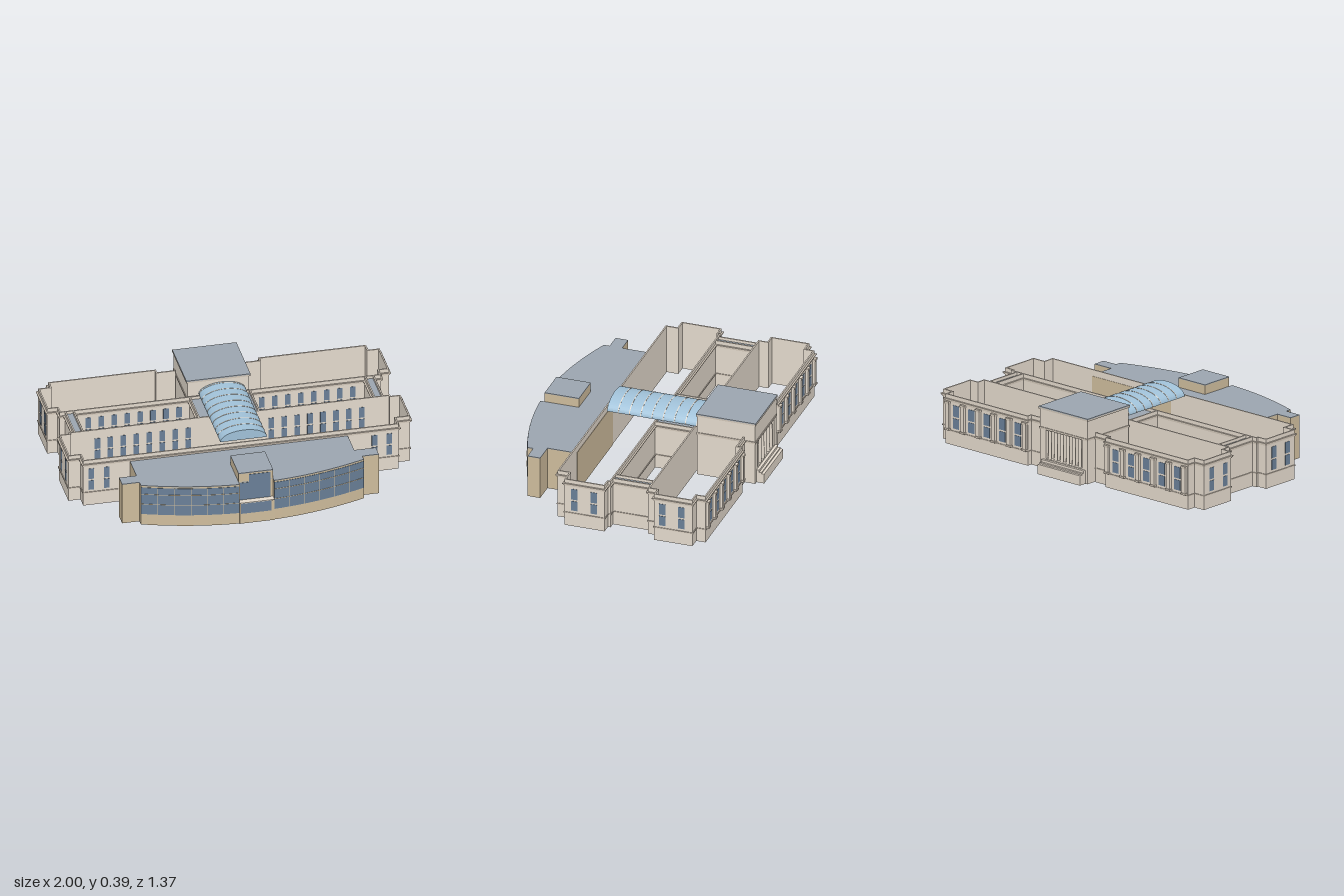
import * as THREE from 'three';

const paint = (name, color) => {
  const m = new THREE.MeshStandardMaterial({ color });
  m.name = name;
  return m;
};

// shift a polyline of [x, z] points sideways, with mitred corners
function offset(pts, d, closed) {
  const n = pts.length;
  const normal = (a, b) => {
    const dx = b[0] - a[0], dz = b[1] - a[1], l = Math.hypot(dx, dz);
    return [dz / l, -dx / l];
  };
  return pts.map((p, i) => {
    const prev = i > 0 ? pts[i - 1] : closed ? pts[n - 1] : null;
    const next = i < n - 1 ? pts[i + 1] : closed ? pts[0] : null;
    const a = normal(prev || p, prev ? p : next);
    const b = next ? normal(p, next) : a;
    const k = d / (1 + a[0] * b[0] + a[1] * b[1]);
    return [p[0] + (a[0] + b[0]) * k, p[1] + (a[1] + b[1]) * k];
  });
}

const toV = pts => pts.map(([x, z]) => new THREE.Vector2(x, -z));

export function createModel() {
  const stone = paint('pale stone', 0xe4dacd);
  const trim = paint('stone trim', 0xd2c7b9);
  const sand = paint('sandstone', 0xcfbd9d);
  const roof = paint('grey roof', 0x9ba5af);
  const glass = paint('window glass', 0x6a8098);
  const skylight = paint('skylight glass', 0xa1c2d9);
  const model = new THREE.Group();
  model.name = 'building';

  const add = (name, geo, mat, parent = model) => {
    const m = new THREE.Mesh(geo, mat);
    m.name = name;
    parent.add(m);
    return m;
  };
  const box = (name, mat, x0, x1, y0, y1, z0, z1, parent) => {
    const m = add(name, new THREE.BoxGeometry(x1 - x0, y1 - y0, z1 - z0), mat, parent);
    m.position.set((x0 + x1) / 2, (y0 + y1) / 2, (z0 + z1) / 2);
    return m;
  };
  const extrudeUp = (name, shape, y0, y1, mat) => {
    const g = new THREE.ExtrudeGeometry(shape, { depth: y1 - y0, bevelEnabled: false });
    g.rotateX(-Math.PI / 2).translate(0, y0, 0);
    return add(name, g, mat);
  };
  // wall that follows a path, reaching from dIn to dOut beside it
  const wall = (name, pts, y0, y1, mat, closed = true, dOut = 0, dIn = -0.008) => {
    const a = toV(offset(pts, dOut, closed)), b = toV(offset(pts, dIn, closed));
    const shape = new THREE.Shape(closed ? a.reverse() : [...a, ...b.reverse()]);
    if (closed) shape.holes.push(new THREE.Path(b));
    return extrudeUp(name, shape, y0, y1, mat);
  };
  const stoneWall = (name, pts, closed) => {
    wall(name + 'Wall', pts, 0, 0.293, stone, closed);
    wall(name + 'Course', pts, 0.079, 0.086, trim, closed, 0.004, -0.004);
    wall(name + 'CorniceBase', pts, 0.255, 0.26, trim, closed, 0.004, -0.004);
    wall(name + 'Cornice', pts, 0.26, 0.265, trim, closed, 0.007, -0.004);
    wall(name + 'CorniceTop', pts, 0.265, 0.27, trim, closed, 0.01, -0.004);
  };
  // two-light window facing along angle
  const windowAt = (x, z, angle, w = 0.038) => {
    const g = new THREE.Group();
    g.name = 'window';
    box('lowerPane', glass, -w / 2, w / 2, 0.1, 0.16, -0.0015, 0.0015, g);
    box('upperPane', glass, -w / 2, w / 2, 0.17, 0.237, -0.0015, 0.0015, g);
    g.position.set(x, 0, z);
    g.rotation.y = angle;
    model.add(g);
  };

  // open-topped rear and front wings
  const rear = [[0.18, -0.58], [0.295, -0.58], [0.295, -0.61], [0.92, -0.61], [0.92, -0.555],
    [0.987, -0.555], [0.987, -0.325], [0.93, -0.325], [0.93, -0.27], [-0.93, -0.27],
    [-0.93, -0.325], [-0.99, -0.325], [-0.99, -0.555], [-0.92, -0.555], [-0.92, -0.61],
    [-0.295, -0.61], [-0.295, -0.58], [-0.19, -0.58]];
  const front = [[-0.93, -0.045], [0.93, -0.045], [0.93, -0.03], [0.987, -0.03], [0.987, 0.21],
    [0.905, 0.21], [0.905, 0.28], [-0.92, 0.28], [-0.92, 0.21], [-0.99, 0.21],
    [-0.99, -0.03], [-0.93, -0.03]];
  stoneWall('rearWing', rear, false);
  stoneWall('frontWing', front, true);
  // sandstone lining on the inside of the front wall
  box('frontWallLining', sand, 0, 0.6, 0, 0.255, 0.27, 0.273);

  // links across the courtyard
  for (const [x0, x1] of [[-0.9, -0.845], [0.835, 0.89], [-0.18, 0.175]]) {
    stoneWall('linkLeft', [[x1, -0.27], [x1, -0.045]], false);
    stoneWall('linkRight', [[x0, -0.045], [x0, -0.27]], false);
    box('linkRoof', roof, x0 + 0.006, x1 - 0.006, 0.27, 0.276, -0.27, -0.045);
  }

  // wing windows
  for (const [x, a] of [[0.9875, Math.PI / 2], [-0.9905, -Math.PI / 2]])
    for (const z of [0.15, 0.035, -0.375, -0.49]) windowAt(x, z, a);
  for (const x of [-0.875, -0.785, 0.765, 0.85]) windowAt(x, 0.2805, 0, 0.032);
  for (const s of [-1, 1])
    for (let i = 0; i < 8; i++) {
      windowAt(s * (0.24 + i * 0.075), -0.2695, 0, 0.032);
      windowAt(s * (0.24 + i * 0.075), -0.0365, 0, 0.032);
    }

  // rear bays between engaged pilasters
  for (const s of [-1, 1])
    for (let i = 0; i < 6; i++) {
      const x = s * (0.312 + i * 0.117);
      box('pilaster', stone, x - 0.013, x + 0.013, 0.086, 0.256, -0.625, -0.609);
      box('pilasterBase', trim, x - 0.017, x + 0.017, 0.086, 0.097, -0.629, -0.609);
      box('pilasterCapital', trim, x - 0.017, x + 0.017, 0.242, 0.256, -0.629, -0.609);
      if (i < 5) windowAt(x + s * 0.0585, -0.6105, 0, 0.046);
    }

  // tall rear entrance block with a columned recess
  const block = [[-0.185, -0.642], [0.172, -0.642], [0.172, -0.295], [-0.185, -0.295]];
  const recess = [[0.13, -0.642], [0.172, -0.642], [0.172, -0.295], [-0.185, -0.295],
    [-0.185, -0.642], [-0.143, -0.642], [-0.143, -0.618], [0.13, -0.618]];
  wall('blockBase', block, 0, 0.085, stone);
  wall('blockMiddle', recess, 0.085, 0.26, stone);
  wall('blockUpper', block, 0.26, 0.378, stone);
  for (const y of [0.077, 0.26]) box('recessLedge', stone, -0.143, 0.13, y, y + 0.008, -0.64, -0.612);
  wall('blockCornice', block, 0.256, 0.268, trim, true, 0.004, -0.004);
  box('blockRoofEdge', trim, -0.192, 0.179, 0.373, 0.382, -0.647, -0.29);
  box('blockRoof', roof, -0.192, 0.179, 0.382, 0.388, -0.647, -0.29);
  for (let i = 0; i < 6; i++) {
    const c = add('column', new THREE.CylinderGeometry(0.008, 0.01, 0.175, 12), stone);
    c.position.set(-0.12 + i * 0.0455, 0.1725, -0.632);
  }
  for (const [h, z] of [[0.08, -0.658], [0.066, -0.672], [0.058, -0.688]])
    box('entranceStep', stone, -0.17, 0.15, 0, h, z, -0.64);

  // barrel skylight with ribs
  const arch = (name, grow, z0, z1, mat) => {
    const s = new THREE.Shape();
    s.absellipse(0.015, 0.293, 0.135 + grow, 0.062 + grow, 0, Math.PI, false, 0);
    const g = new THREE.ExtrudeGeometry(s, { depth: z1 - z0, bevelEnabled: false, curveSegments: 14 });
    add(name, g.translate(0, 0, z0), mat);
  };
  arch('skylight', 0, -0.295, 0.252, skylight);
  for (let i = 0; i < 8; i++) arch('skylightRib', 0.0015, 0.183 - i * 0.067, 0.188 - i * 0.067, stone);

  // curved front hall
  const bow = (x0, x1, n = 12) => Array.from({ length: n + 1 }, (_, i) => {
    const x = x0 + (x1 - x0) * i / n;
    return [x, 0.673 - 0.118 * ((x + 0.005) / 0.645) ** 2];
  });
  const bowLeft = bow(0.64, 0.095), bowRight = bow(-0.105, -0.65);
  const hall = [[0.61, 0.28], [0.61, 0.445], [0.735, 0.445], [0.735, 0.52], [0.64, 0.52],
    ...bowLeft, [0.095, 0.645], [-0.105, 0.645], ...bowRight,
    [-0.65, 0.52], [-0.75, 0.52], [-0.75, 0.445], [-0.65, 0.445], [-0.65, 0.28]];
  wall('hallWall', hall, 0, 0.252, sand, false);
  extrudeUp('hallRoof', new THREE.Shape(toV(hall)), 0.252, 0.256, roof);
  for (const path of [bowLeft, bowRight]) {
    wall('hallGlass', path, 0.07, 0.244, glass, false, 0.002, -0.002);
    for (const y of [0.136, 0.2]) wall('hallRail', path, y - 0.0015, y + 0.0015, sand, false, 0.004, 0);
    for (let i = 2; i < 12; i += 2) {
      const [x, z] = path[i];
      box('hallMullion', sand, x - 0.0012, x + 0.0012, 0.07, 0.244, z - 0.002, z + 0.0035);
    }
  }

  // entrance tower rising through the hall roof
  box('towerTop', sand, -0.105, 0.095, 0.25, 0.308, 0.44, 0.645);
  box('towerRoof', roof, -0.105, 0.095, 0.308, 0.313, 0.44, 0.645);
  box('porch', sand, -0.105, 0.095, 0, 0.135, 0.64, 0.674);
  box('towerGlass', glass, -0.098, 0.078, 0.139, 0.25, 0.644, 0.647);
  box('towerUpperGlass', glass, -0.045, 0.078, 0.25, 0.3, 0.644, 0.647);
  box('porchGlass', glass, -0.098, 0.078, 0.065, 0.133, 0.673, 0.676);
  box('porchCanopy', stone, -0.105, 0.095, 0.134, 0.139, 0.64, 0.682);
  return model;
}
